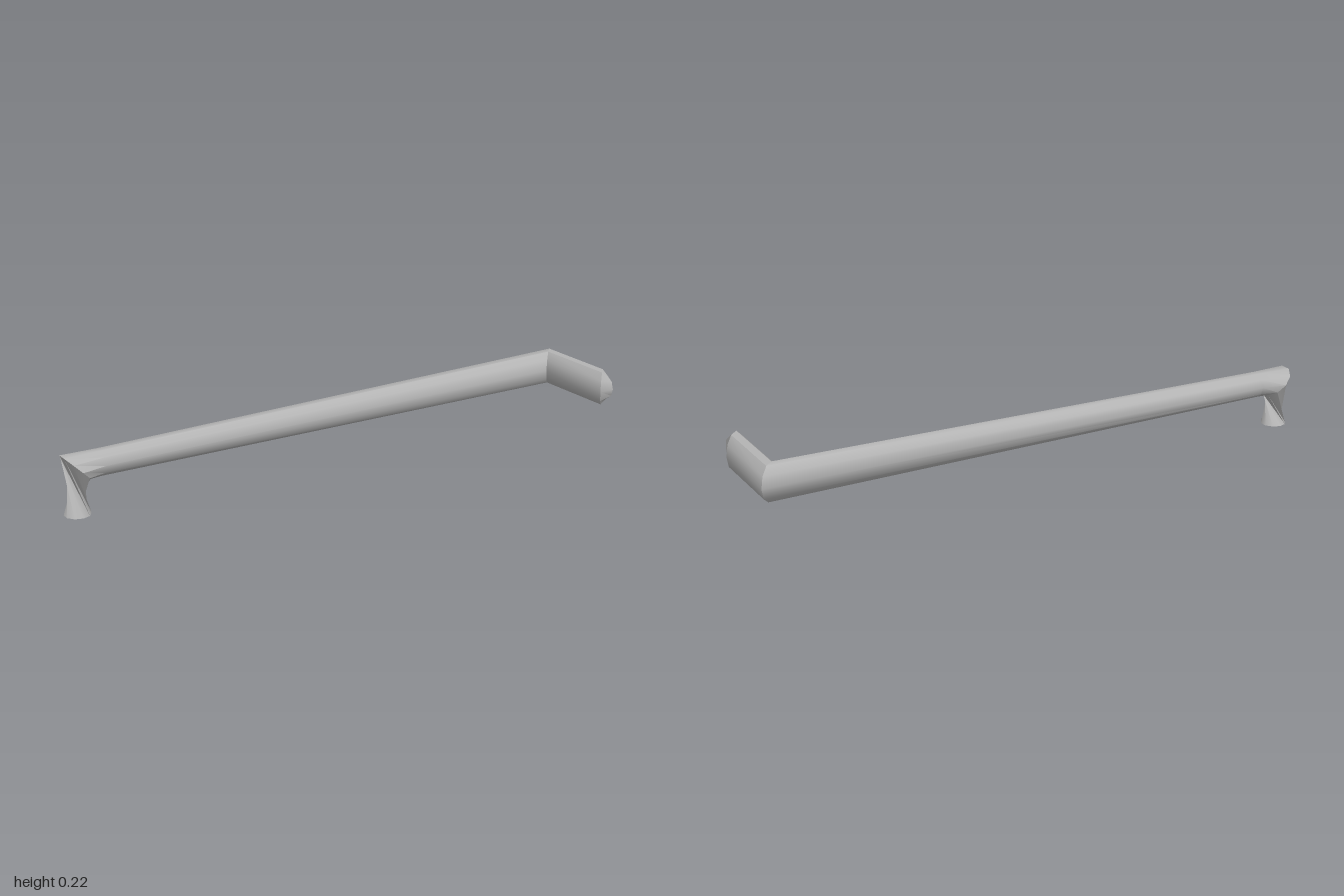
import * as THREE from 'three';
import { toCreasedNormals } from 'three/addons/utils/BufferGeometryUtils.js';

const SIDES = 10;
const R = 0.0445;        // pipe radius
const M = R * Math.SQRT2; // long radius of a mitred ring

// A ring is a centre, two radius vectors and an optional twist in steps
const ring = (c, u, v, twist = 0) => Array.from({ length: SIDES }, (_, j) => {
  const a = ((j + twist) / SIDES) * Math.PI * 2;
  return c.map((k, i) => k + u[i] * Math.cos(a) + v[i] * Math.sin(a));
});

function toGeometry(positions) {
  const g = new THREE.BufferGeometry();
  g.setAttribute('position', new THREE.Float32BufferAttribute(positions, 3));
  return toCreasedNormals(g, 0.72);
}

// Skin between successive rings
function skin(rings) {
  const p = [];
  for (let i = 0; i < rings.length - 1; i++) {
    for (let j = 0; j < SIDES; j++) {
      const k = (j + 1) % SIDES;
      const a = rings[i][j], b = rings[i][k], c = rings[i + 1][k], d = rings[i + 1][j];
      p.push(...a, ...b, ...c, ...a, ...c, ...d);
    }
  }
  return toGeometry(p);
}

// Flat cap closing a ring
function cap(points, flip) {
  const p = [];
  for (let j = 1; j < SIDES - 1; j++) {
    const [b, c] = flip ? [points[j + 1], points[j]] : [points[j], points[j + 1]];
    p.push(...points[0], ...b, ...c);
  }
  return toGeometry(p);
}

export function createModel() {
  const group = new THREE.Group();
  group.name = 'bentPipe';
  const grey = new THREE.MeshStandardMaterial({ color: 0xb4b4b4, side: THREE.DoubleSide });
  grey.name = 'pipeGrey';

  const base = ring([-0.956, 0, -0.141], [0, 0, R], [R, 0, 0], 4);
  const elbow = ring([-0.956, 0.159, -0.141], [0, 0, M], [R, -R, 0]);
  const neck = ring([-0.87, 0.159, -0.141], [0, 0, R], [0, -R, 0]);
  const corner = ring([0.956, 0.159, -0.141], [-R, 0, R], [0, -M, 0]);
  const mouth = ring([0.956, 0.159, 0.159], [-R, 0, R], [0, -M, 0]);
  const end = ring([0.97, 0.159, 0.159], [0, 0, R], [0, -R, 0]);

  const add = (name, geometry) => {
    const mesh = new THREE.Mesh(geometry, grey);
    mesh.name = name;
    group.add(mesh);
  };

  add('twistedFoot', skin([base, elbow]));
  add('footCap', cap(base, true));
  add('longPipe', skin([elbow, neck, corner]));
  add('shortPipe', skin([corner, mouth]));
  add('endCollar', skin([mouth, end]));
  add('endCap', cap(end, false));
  return group;
}
